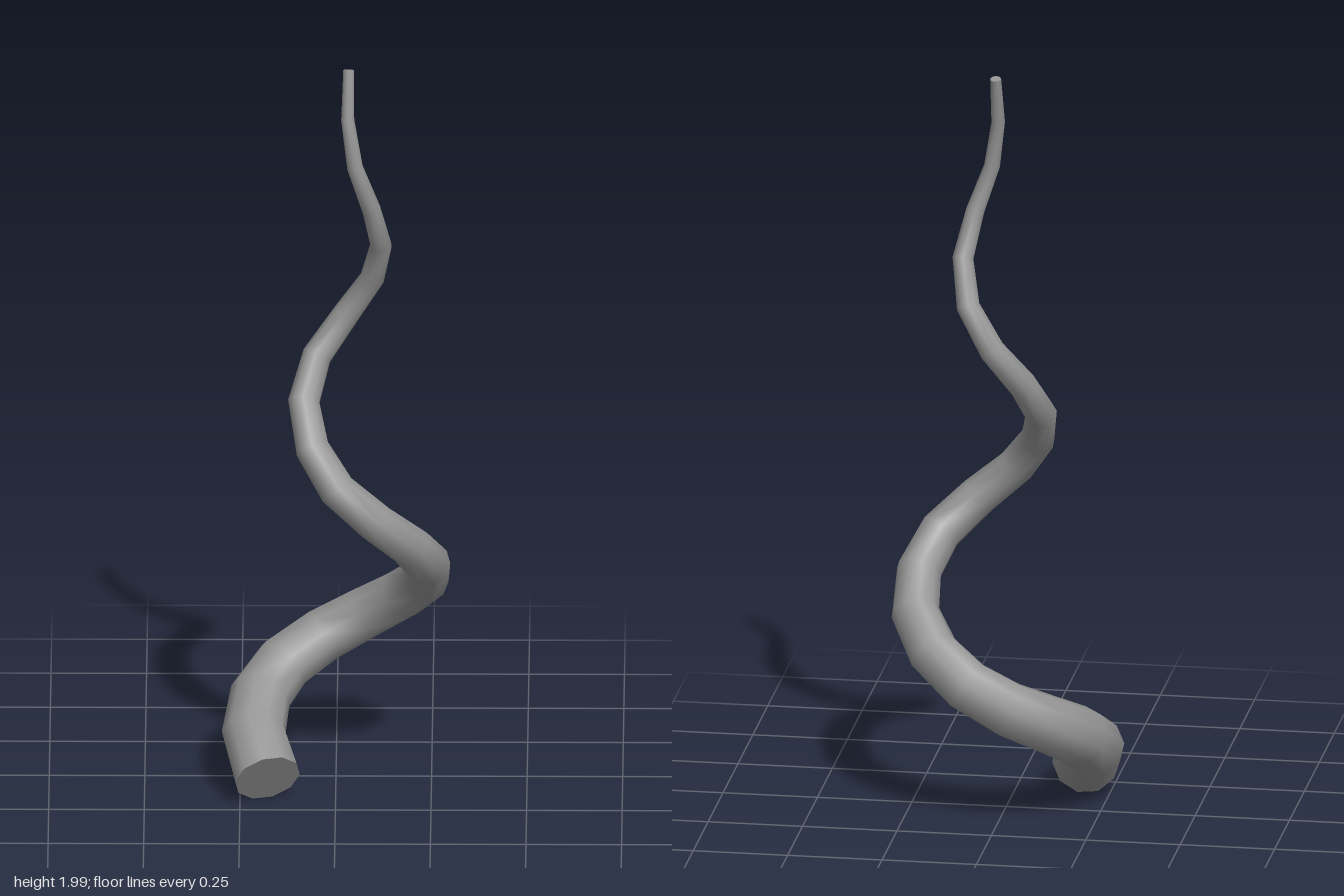
import * as THREE from 'three';

const SIDES = 10;

// Centre line of the horn: x, y, z from thick base to thin tip
const PATH = [
  [-0.178, 0.08, 0.202], [-0.215, 0.16, 0.08], [-0.198, 0.222, -0.03], [-0.137, 0.278, -0.122],
  [-0.035, 0.335, -0.18], [0.075, 0.397, -0.184], [0.172, 0.468, -0.135], [0.233, 0.545, -0.047],
  [0.24, 0.627, 0.058], [0.197, 0.709, 0.152], [0.106, 0.794, 0.2], [0.004, 0.884, 0.195],
  [-0.061, 0.978, 0.14], [-0.084, 1.076, 0.05], [-0.05, 1.176, -0.027], [0.027, 1.28, -0.063],
  [0.095, 1.39, -0.037], [0.118, 1.504, 0.022], [0.093, 1.621, 0.069], [0.05, 1.743, 0.08],
  [0.031, 1.869, 0.062], [0.033, 1.997, 0.032],
].map((p) => new THREE.Vector3(...p));

// Tapered tube: one ring per path point, its frame carried along without twist
function hornGeometry() {
  const last = PATH.length - 1;
  const positions = [];
  const index = [];
  const tangent = (i) => {
    const a = PATH[Math.min(i + 1, last)].clone().sub(PATH[Math.min(i, last - 1)]).normalize();
    const b = PATH[Math.max(i, 1)].clone().sub(PATH[Math.max(i - 1, 0)]).normalize();
    return a.add(b).normalize();
  };

  let before = tangent(0);
  const u = new THREE.Vector3(0, 1, 0).cross(before).normalize();
  const turn = new THREE.Quaternion();
  const rings = PATH.map((centre, i) => {
    const t = tangent(i);
    u.applyQuaternion(turn.setFromUnitVectors(before, t));
    before = t;
    const v = t.clone().cross(u);
    const radius = THREE.MathUtils.lerp(0.088, 0.0145, i / last);
    return Array.from({ length: SIDES }, (_, k) => {
      const a = (k / SIDES) * Math.PI * 2;
      return centre.clone().addScaledVector(u, Math.cos(a) * radius).addScaledVector(v, Math.sin(a) * radius);
    });
  });

  // Wall
  for (const ring of rings) for (const p of ring) positions.push(p.x, p.y, p.z);
  for (let i = 0; i < last; i++) {
    for (let k = 0; k < SIDES; k++) {
      const a = i * SIDES + k;
      const b = i * SIDES + ((k + 1) % SIDES);
      index.push(a, b, b + SIDES, a, b + SIDES, a + SIDES);
    }
  }

  // Flat end caps with their own vertices, so the rims stay sharp
  for (const [ring, flip] of [[rings[0], true], [rings[last], false]]) {
    const start = positions.length / 3;
    for (const p of ring) positions.push(p.x, p.y, p.z);
    for (let k = 1; k < SIDES - 1; k++) {
      if (flip) index.push(start, start + k + 1, start + k);
      else index.push(start, start + k, start + k + 1);
    }
  }

  const geometry = new THREE.BufferGeometry();
  geometry.setAttribute('position', new THREE.Float32BufferAttribute(positions, 3));
  geometry.setIndex(index);
  geometry.computeVertexNormals();
  return geometry;
}

export function createModel() {
  const model = new THREE.Group();
  model.name = 'spiralHorn';
  const horn = new THREE.Mesh(hornGeometry(), new THREE.MeshStandardMaterial({ color: 0x949494 }));
  horn.name = 'horn';
  model.add(horn);
  return model;
}
